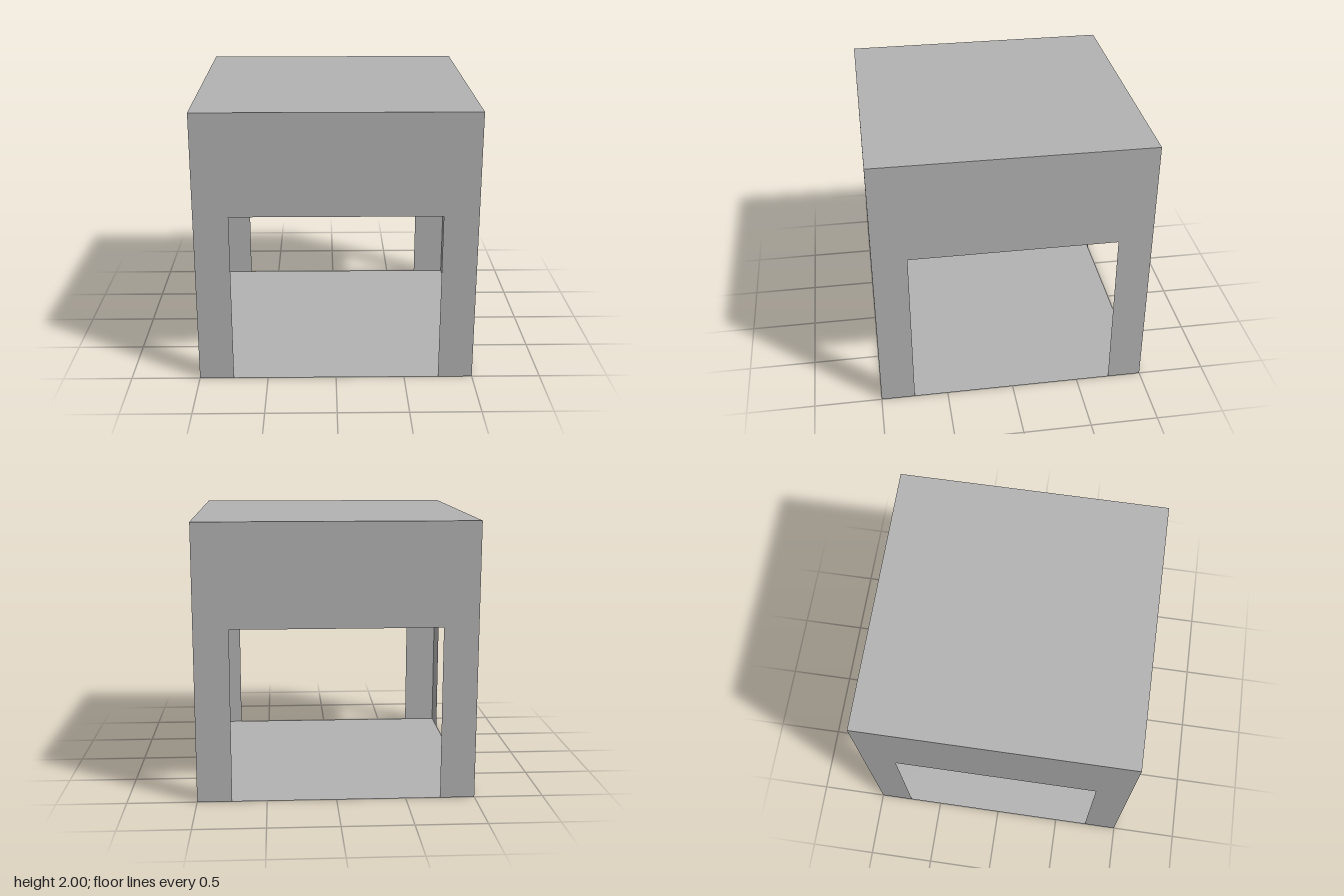
import * as THREE from 'three';

export function createModel() {
  const model = new THREE.Group();
  const grey = new THREE.MeshStandardMaterial({ color: 0xb2b2b2, side: THREE.DoubleSide });
  grey.name = 'grey';

  const half = 1, height = 2;             // outer shell
  const openHalf = 0.75, openTop = 1.255; // doorway in each wall

  // Wall outline: a broad band carried by two corner posts
  const outline = new THREE.Shape([
    [-half, 0], [-openHalf, 0], [-openHalf, openTop], [openHalf, openTop],
    [openHalf, 0], [half, 0], [half, height], [-half, height],
  ].map(([x, y]) => new THREE.Vector2(x, y)));
  const wallGeometry = new THREE.ShapeGeometry(outline).translate(0, 0, half);

  // Four identical walls turned about the centre
  ['frontWall', 'leftWall', 'backWall', 'rightWall'].forEach((name, i) => {
    const wall = new THREE.Mesh(wallGeometry, grey);
    wall.name = name;
    wall.rotation.y = i * Math.PI / 2;
    model.add(wall);
  });

  // Flat roof and floor sheets
  const sheet = (name, y, turn) => {
    const mesh = new THREE.Mesh(new THREE.PlaneGeometry(2 * half, 2 * half), grey);
    mesh.name = name;
    mesh.position.y = y;
    mesh.rotation.x = turn;
    model.add(mesh);
  };
  sheet('roof', height, -Math.PI / 2);
  sheet('floor', 0, Math.PI / 2);

  return model;
}
